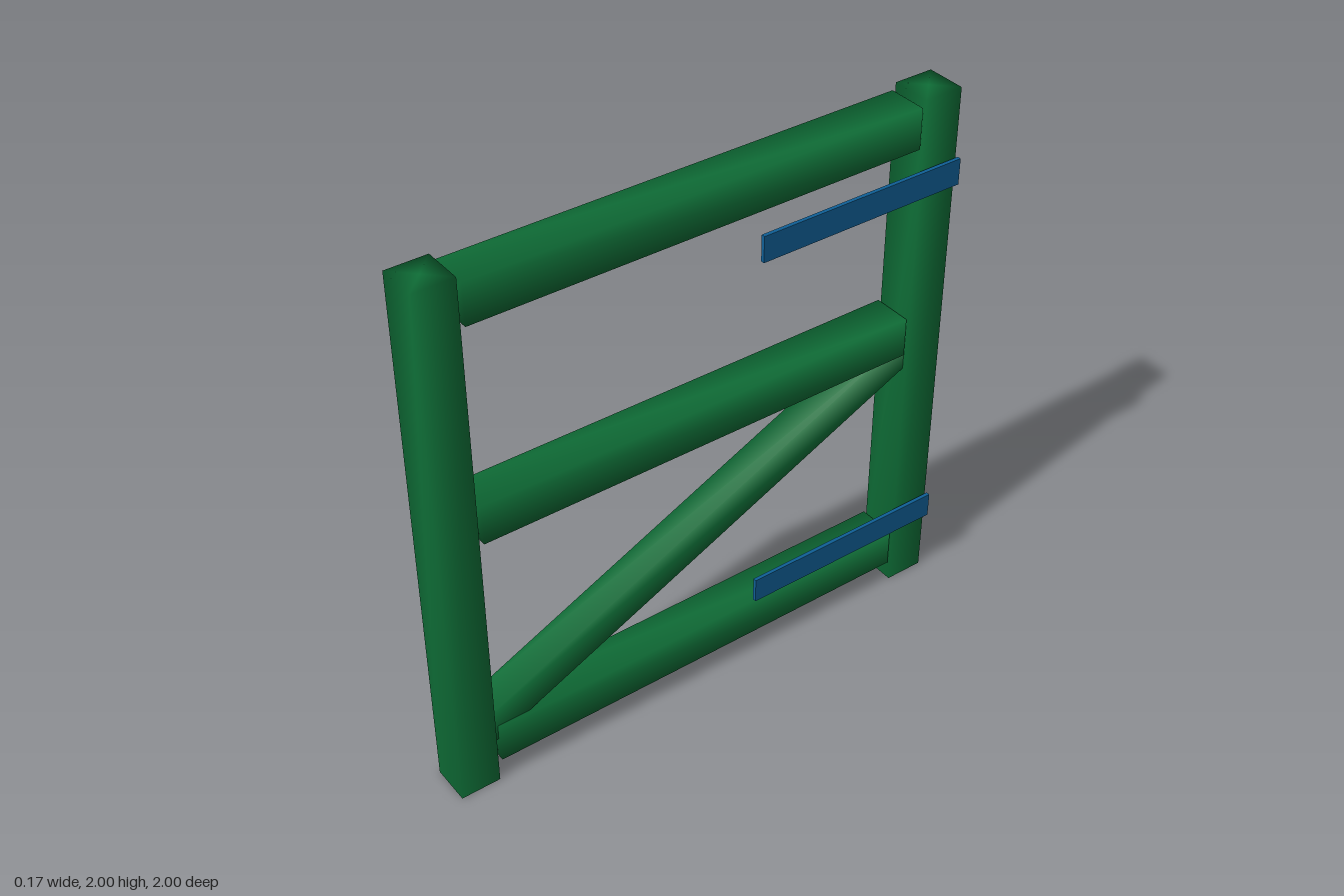
import * as THREE from 'three';
import { mergeVertices } from 'three/addons/utils/BufferGeometryUtils.js';

const green = new THREE.MeshStandardMaterial({ color: 0x0f7038 });
const blue = new THREE.MeshStandardMaterial({ color: 0x0f5f96 });
const FRAME_X = -0.012;

// Square timber along y with softly shaded corners
function timber(name, width, length) {
  let g = new THREE.CylinderGeometry(width / Math.SQRT2, width / Math.SQRT2, length, 4, 1, false, Math.PI / 4);
  g.deleteAttribute('normal');
  g.deleteAttribute('uv');
  g = mergeVertices(g);
  g.computeVertexNormals();
  const mesh = new THREE.Mesh(g, green);
  mesh.name = name;
  return mesh;
}

export function createModel() {
  const gate = new THREE.Group();
  gate.name = 'gate';

  // Upright posts at both ends
  for (const [name, z] of [['frontPost', 0.926], ['backPost', -0.923]]) {
    const post = timber(name, 0.147, 2);
    post.position.set(FRAME_X, 1, z);
    gate.add(post);
  }

  // Horizontal rails, stopping just short of the posts
  for (const [name, y] of [['bottomRail', 0.158], ['middleRail', 1.102], ['topRail', 1.902]]) {
    const rail = timber(name, 0.147, 1.675);
    rail.rotation.x = Math.PI / 2;
    rail.position.set(FRAME_X, y, 0);
    gate.add(rail);
  }

  // Diagonal brace rising towards the back post
  const low = new THREE.Vector3(FRAME_X, 0.215, 0.89);
  const high = new THREE.Vector3(FRAME_X, 1.045, -0.89);
  const dir = high.clone().sub(low);
  const brace = timber('diagonalBrace', 0.12, dir.length());
  brace.position.copy(low).add(high).multiplyScalar(0.5);
  brace.rotation.x = Math.atan2(dir.z, dir.y);
  gate.add(brace);

  // Flat hinge straps on the left face
  for (const [name, y] of [['lowerHingeStrap', 0.298], ['upperHingeStrap', 1.703]]) {
    const strap = new THREE.Mesh(new THREE.BoxGeometry(0.014, 0.096, 0.8), blue);
    strap.name = name;
    strap.position.set(0.076, y, -0.6);
    gate.add(strap);
  }
  return gate;
}
